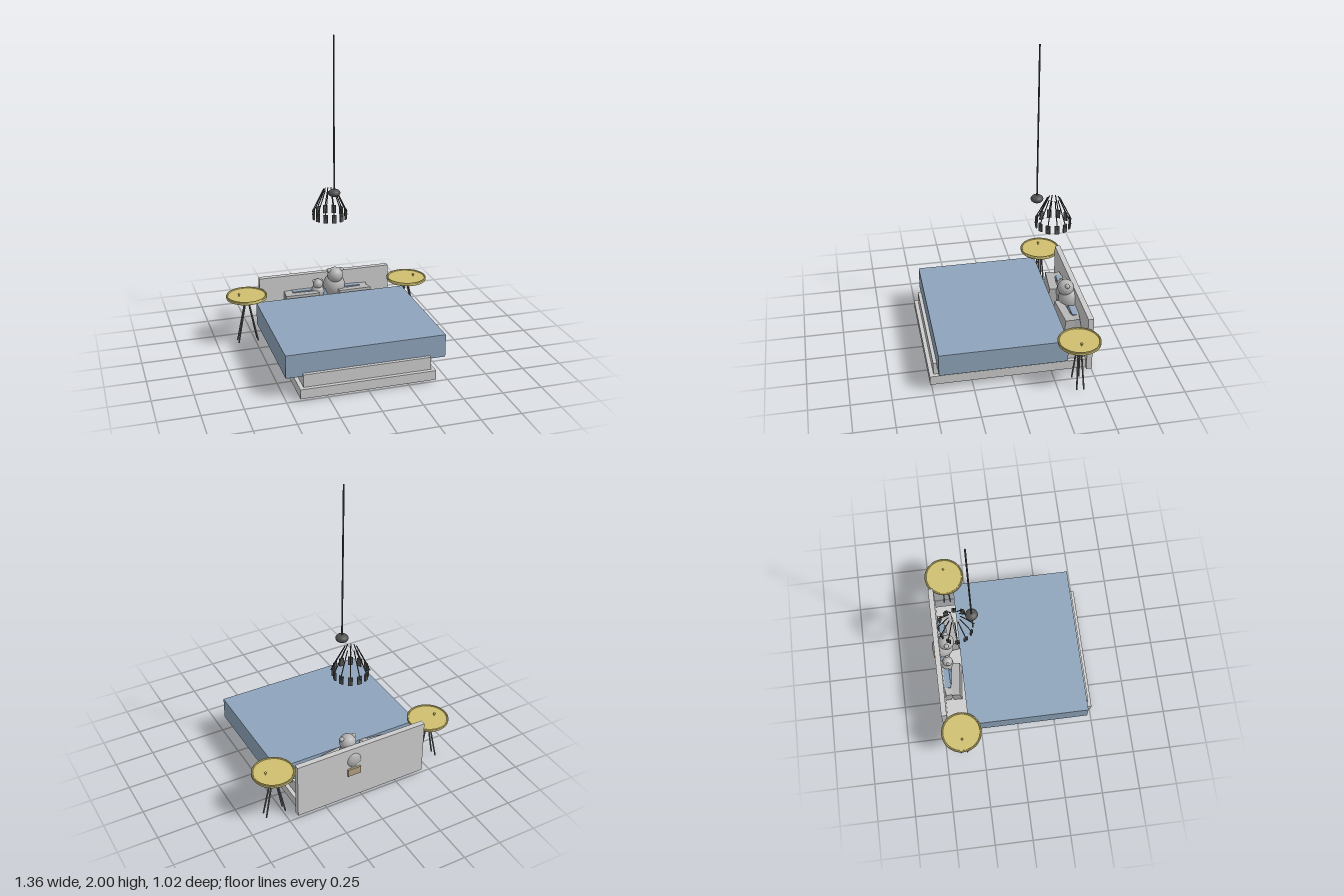
import * as THREE from 'three';

const mat = (color) => new THREE.MeshStandardMaterial({ color });
const grey = mat(0xcccccc), plush = mat(0xb4b4b4), blue = mat(0x8ea4bb);
const gold = mat(0xcfbf70), dark = mat(0x505050), steel = mat(0x777777), tan = mat(0xb0a080);

function add(parent, name, geometry, material, x = 0, y = 0, z = 0) {
  const mesh = new THREE.Mesh(geometry, material);
  mesh.name = name;
  mesh.position.set(x, y, z);
  parent.add(mesh);
  return mesh;
}

// box given by its limits on each axis
function slab(parent, name, material, x0, x1, y0, y1, z0, z1) {
  return add(parent, name, new THREE.BoxGeometry(x1 - x0, y1 - y0, z1 - z0), material,
    (x0 + x1) / 2, (y0 + y1) / 2, (z0 + z1) / 2);
}

// straight rod between two points
function rod(parent, name, material, a, b, radius) {
  const dir = b.clone().sub(a);
  const mesh = add(parent, name, new THREE.CylinderGeometry(radius, radius, dir.length(), 10), material);
  mesh.position.copy(a).add(b).multiplyScalar(0.5);
  mesh.quaternion.setFromUnitVectors(new THREE.Vector3(0, 1, 0), dir.normalize());
  return mesh;
}

function group(parent, name, x = 0, y = 0, z = 0) {
  const g = new THREE.Group();
  g.name = name;
  g.position.set(x, y, z);
  parent.add(g);
  return g;
}

const V = (x, y, z) => new THREE.Vector3(x, y, z);

function addBed(root) {
  const bed = group(root, 'bed');
  slab(bed, 'bedFrame', grey, -0.42, 0.42, 0.02, 0.08, -0.465, 0.51);
  slab(bed, 'mattress', grey, -0.395, 0.395, 0.08, 0.16, -0.465, 0.485);
  slab(bed, 'blanket', blue, -0.495, 0.495, 0.14, 0.285, -0.33, 0.463);
  slab(bed, 'headboard', grey, -0.443, 0.443, 0.02, 0.39, -0.498, -0.463);
}

function addPillows(root) {
  const pillows = group(root, 'pillows');
  for (const s of [-1, 1]) {
    const front = add(pillows, 'frontPillow', new THREE.BoxGeometry(0.22, 0.12, 0.055), plush, s * 0.175, 0.23, -0.375);
    front.rotation.set(-0.08, s * 0.1, s * -0.03);
    const back = add(pillows, 'backPillow', new THREE.BoxGeometry(0.22, 0.12, 0.05), plush, s * 0.17, 0.225, -0.452);
    back.rotation.set(0.15, s * -0.12, 0);
  }
  const middle = add(pillows, 'bluePillow', new THREE.BoxGeometry(0.46, 0.12, 0.045), blue, 0, 0.228, -0.435);
  middle.rotation.x = -0.1;
}

function addBear(root, name, x, z, headY, headR, bodyY, bodyR, bodyZ) {
  const bear = group(root, name, x, 0, z);
  add(bear, 'head', new THREE.SphereGeometry(headR, 28, 20), plush, 0, headY, 0);
  const body = add(bear, 'body', new THREE.SphereGeometry(bodyR, 28, 20), plush, 0, bodyY, bodyZ);
  body.scale.y = 1.1;
  for (const s of [-1, 1]) {
    add(bear, 'ear', new THREE.SphereGeometry(headR * 0.3, 16, 12), plush, s * headR * 0.8, headY + headR * 0.65, 0);
  }
}

function addTable(root, s) {
  const table = group(root, s > 0 ? 'leftTable' : 'rightTable', s * 0.547, 0, -0.382);
  // shallow tray with a raised rim
  const profile = [[0, 0.298], [0.1, 0.298], [0.104, 0.308], [0.13, 0.308], [0.132, 0.314], [0.132, 0.324],
    [0.129, 0.328], [0.123, 0.328], [0.12, 0.322], [0, 0.322]].map(([r, y]) => new THREE.Vector2(r, y));
  const tray = add(table, 'tableTop', new THREE.LatheGeometry(profile, 48), gold);
  tray.material = gold.clone();
  tray.material.flatShading = true;
  add(table, 'knobStem', new THREE.CylinderGeometry(0.004, 0.004, 0.012, 12), gold, s * 0.05, 0.327, 0);
  add(table, 'knob', new THREE.SphereGeometry(0.007, 14, 10), gold, s * 0.05, 0.335, 0);
  for (const sx of [-1, 1]) for (const sz of [-1, 1]) {
    rod(table, 'tableLeg', steel, V(sx * 0.006, 0.3, sz * 0.008), V(sx * 0.064, 0.004, sz * 0.022), 0.005);
  }
}

function addLamp(root) {
  const lamp = group(root, 'hangingLamp');
  rod(lamp, 'cord', dark, V(0, 1.01, -0.23), V(0, 2, -0.23), 0.005);
  add(lamp, 'hub', new THREE.SphereGeometry(0.039, 28, 18), dark, 0, 1.012, -0.23).scale.y = 0.65;
  // ring of twelve slanted arms, each ending in a small shade
  const ring = group(lamp, 'armRing', 0, 0, -0.335);
  for (let i = 0; i < 12; i++) {
    const arm = group(ring, 'arm');
    arm.rotation.y = i * Math.PI / 6;
    rod(arm, 'armRod', dark, V(0, 1.005, 0.038), V(0, 0.845, 0.116), 0.0032);
    add(arm, 'shade', new THREE.BoxGeometry(0.028, 0.054, 0.009), dark, 0, 0.838, 0.106);
  }
}

export function createModel() {
  const root = new THREE.Group();
  root.name = 'bedroomSet';
  addBed(root);
  addPillows(root);
  addBear(root, 'largeBear', 0.058, -0.415, 0.383, 0.052, 0.3, 0.072, -0.028);
  addBear(root, 'smallBear', -0.06, -0.42, 0.33, 0.033, 0.275, 0.042, -0.005);
  // small board showing behind the headboard
  slab(root, 'backBoard', tan, 0.015, 0.105, 0.195, 0.245, -0.51, -0.46);
  for (const s of [-1, 1]) addTable(root, s);
  addLamp(root);
  return root;
}
